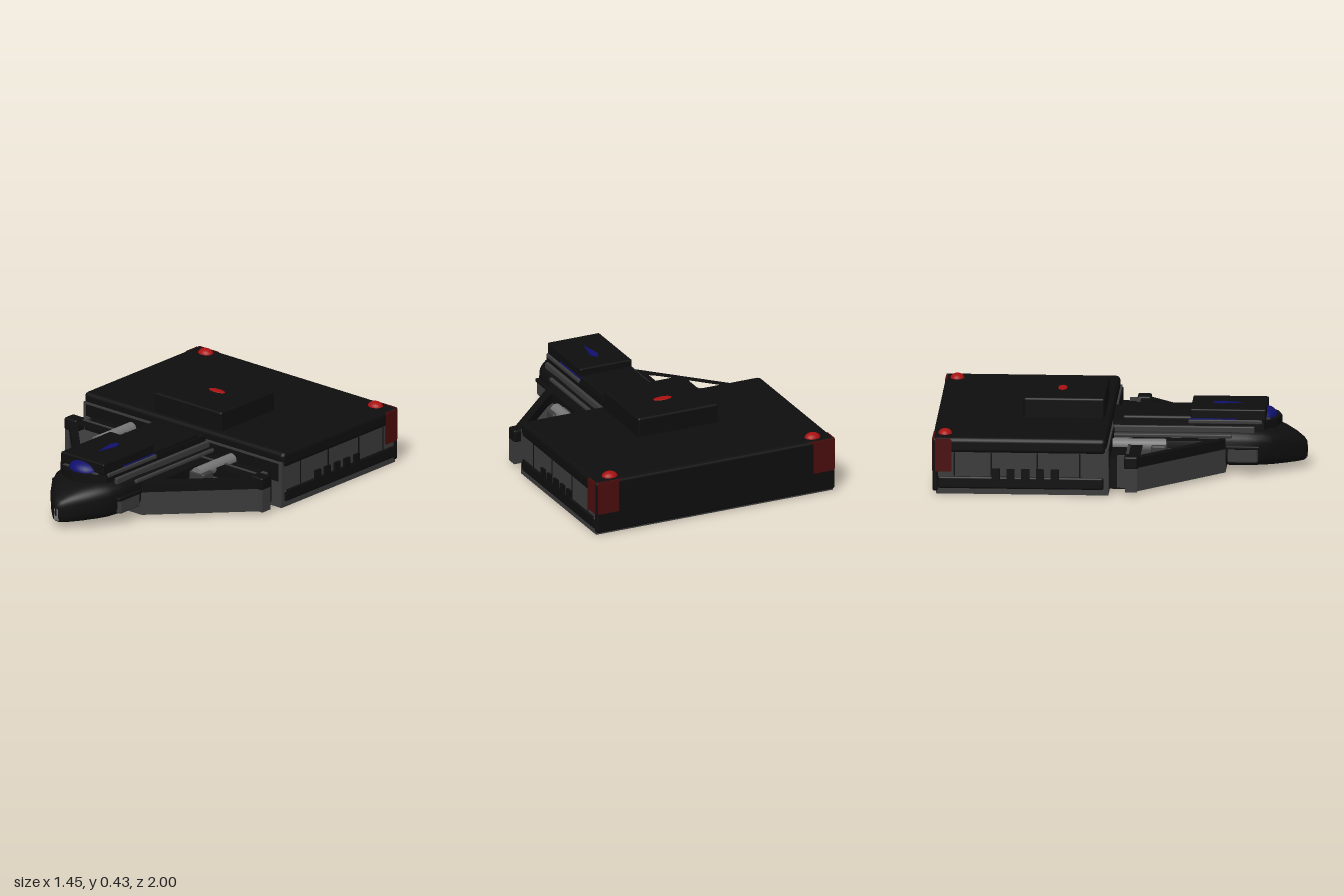
import * as THREE from 'three';
import { RoundedBoxGeometry } from 'three/addons/geometries/RoundedBoxGeometry.js';

const mat = (name, color, side = THREE.FrontSide) => {
  const m = new THREE.MeshStandardMaterial({ color, side });
  m.name = name;
  return m;
};

export function createModel() {
  const root = new THREE.Group();
  root.name = 'shuttle';
  const black = mat('black hull', 0x0e0e0e);
  const grey = mat('dark grey panel', 0x3a3a3a);
  const light = mat('light grey metal', 0x757575);
  const red = mat('red light', 0xa81010);
  const darkRed = mat('dark red panel', 0x4a0c0c);
  const blue = mat('blue glass', 0x10106e);

  const add = (name, geo, m, x = 0, y = 0, z = 0) => {
    const mesh = new THREE.Mesh(geo, m);
    mesh.name = name;
    mesh.position.set(x, y, z);
    root.add(mesh);
    return mesh;
  };
  // box given by its extents, optionally rounded
  const box = (name, m, x0, x1, y0, y1, z0, z1, r = 0) => {
    const s = [x1 - x0, y1 - y0, z1 - z0];
    const g = r ? new RoundedBoxGeometry(...s, 2, r) : new THREE.BoxGeometry(...s);
    return add(name, g, m, (x0 + x1) / 2, (y0 + y1) / 2, (z0 + z1) / 2);
  };
  // the same box on both sides
  const pair = (name, m, x0, x1, ...rest) => {
    box(name + 'Left', m, x0, x1, ...rest);
    box(name + 'Right', m, -x1, -x0, ...rest);
  };
  // horizontal slab from an outline of [x, z] points
  const outline = (pts, C) => new C(pts.map(([x, z]) => new THREE.Vector2(x, -z)));
  const slab = (name, m, pts, y0, y1, holes = []) => {
    const shape = outline(pts, THREE.Shape);
    shape.holes = holes.map((h) => outline(h, THREE.Path));
    const g = new THREE.ExtrudeGeometry(shape, { depth: y1 - y0, bevelEnabled: false });
    g.rotateX(-Math.PI / 2);
    return add(name, g, m, 0, y0, 0);
  };

  // rear cargo module
  box('cargoCore', grey, -0.712, 0.712, 0, 0.26, -0.98, -0.045);
  box('cargoRoof', black, -0.72, 0.72, 0.225, 0.312, -1, -0.055, 0.025);
  box('cargoFront', black, -0.69, 0.69, 0.15, 0.25, -0.06, -0.04);
  box('rearPlate', black, -0.718, 0.718, 0.012, 0.31, -1, -0.965, 0.015);
  box('roofHatch', black, -0.24, 0.24, 0.29, 0.42, -0.53, -0.09, 0.012);
  pair('sideRail', black, 0.69, 0.722, 0.03, 0.098, -0.97, -0.07, 0.012);
  for (let i = 0; i < 5; i++) {
    const z = -0.335 - i * 0.08;
    pair('vent' + i, black, 0.70, 0.726, 0.08, 0.142, z - 0.022, z + 0.022);
  }
  for (const z of [-0.2, -0.43, -0.68, -0.88]) {
    pair('panelSeam', black, 0.70, 0.714, 0.1, 0.23, z - 0.004, z + 0.004);
  }

  // red corner panels and lamps
  pair('cornerSidePanel', darkRed, 0.714, 0.722, 0.125, 0.3, -0.985, -0.895);
  pair('cornerBackPanel', darkRed, 0.585, 0.71, 0.125, 0.3, -1.002, -0.994);
  pair('cornerRoofEdge', darkRed, 0.57, 0.71, 0.295, 0.309, -0.999, -0.985);
  pair('cornerRoofSide', darkRed, 0.698, 0.719, 0.29, 0.306, -0.985, -0.9);
  const dome = new THREE.SphereGeometry(1, 20, 8, 0, Math.PI * 2, 0, Math.PI / 2);
  for (const s of [-1, 1]) {
    add('roofLamp', dome, red, s * 0.61, 0.308, -0.935).scale.set(0.045, 0.03, 0.038);
  }
  add('hatchLamp', dome, red, 0, 0.419, -0.33).scale.set(0.055, 0.007, 0.025);

  // delta wing: grey base, black frame with a sunken grey triangle on each side
  const wing = [[0.69, 0.1], [0.24, 0.565], [-0.24, 0.565], [-0.69, 0.1], [-0.69, 0.045], [0.69, 0.045]];
  const hole = [[0.29, 0.125], [0.29, 0.44], [0.335, 0.405], [0.605, 0.125]];
  slab('wingBase', grey, wing, 0.018, 0.148);
  slab('wingFrame', black, wing, 0.148, 0.203, [hole, hole.map(([x, z]) => [-x, z])]);
  box('wingCrossbar', grey, -0.66, 0.66, 0.198, 0.207, 0.045, 0.06);
  box('wingJoint', black, -0.64, 0.64, 0.02, 0.19, -0.05, 0.05);
  pair('jointCorner', grey, 0.62, 0.655, 0.03, 0.205, 0.0, 0.05);
  pair('wingTip', black, 0.625, 0.712, 0.145, 0.215, 0.04, 0.115, 0.01);
  pair('wingTipFoot', grey, 0.63, 0.71, 0.018, 0.15, 0.045, 0.11);

  // coupling rods resting on the wings
  for (const s of [-1, 1]) {
    const rod = new THREE.CylinderGeometry(0.034, 0.034, 0.3, 20);
    rod.rotateX(Math.PI / 2);
    add('couplingRod', rod, light, s * 0.36, 0.197, 0.1);
  }
  pair('rodMount', grey, 0.305, 0.415, 0.14, 0.205, 0.17, 0.255, 0.012);

  // fuselage lofted through [z, half width, bottom, top]
  const sections = [
    [-0.05, 0.225, 0.03, 0.25], [0.2, 0.23, 0.03, 0.255], [0.57, 0.236, 0.03, 0.26],
    [0.68, 0.232, 0.03, 0.256], [0.76, 0.216, 0.03, 0.25], [0.82, 0.185, 0.031, 0.238],
    [0.88, 0.14, 0.032, 0.217], [0.94, 0.085, 0.034, 0.188], [0.98, 0.042, 0.038, 0.16],
    [0.995, 0.018, 0.05, 0.14], [1, 0, 0.095, 0.095],
  ];
  const N = 36, pos = [], idx = [];
  const round = (v) => Math.sign(v) * Math.abs(v) ** 0.6;
  sections.forEach(([z, w, y0, y1], i) => {
    for (let j = 0; j < N; j++) {
      const t = (j / N) * Math.PI * 2;
      pos.push(w * round(Math.cos(t)), (y0 + y1) / 2 + ((y1 - y0) / 2) * round(Math.sin(t)), z);
      if (i + 1 < sections.length) {
        const a = i * N + j, b = i * N + ((j + 1) % N);
        idx.push(a, b, b + N, a, b + N, a + N);
      }
    }
  });
  const hull = new THREE.BufferGeometry();
  hull.setAttribute('position', new THREE.Float32BufferAttribute(pos, 3));
  hull.setIndex(idx);
  hull.computeVertexNormals();
  add('fuselage', hull, black);
  box('noseProbe', light, -0.02, 0.02, 0.045, 0.125, 0.965, 0.998, 0.012);
  pair('cheekPanel', grey, 0.2, 0.241, 0.07, 0.155, 0.575, 0.74, 0.012);
  pair('cheekTrim', black, 0.2, 0.245, 0.145, 0.165, 0.565, 0.75, 0.006);
  pair('shoulderStrip', grey, 0.178, 0.2, 0.225, 0.262, -0.045, 0.72, 0.006);
  pair('lowerStrip', grey, 0.213, 0.233, 0.205, 0.225, -0.045, 0.6, 0.006);

  // raised spine with a pointed brow
  slab('spine', black, [[0.165, -0.05], [0.165, 0.77], [0.09, 0.835], [0, 0.86],
    [-0.09, 0.835], [-0.165, 0.77], [-0.165, -0.05]], 0.24, 0.285);
  box('spineRidge', black, -0.155, 0.155, 0.26, 0.308, 0.0, 0.45, 0.015);
  pair('spineTrim', grey, 0.157, 0.172, 0.27, 0.292, 0.36, 0.76, 0.005);

  // cabin, canopy glass and roof marking
  box('cabin', black, -0.155, 0.155, 0.285, 0.348, 0.37, 0.78, 0.008);
  box('cabinGlassBand', blue, -0.158, 0.158, 0.288, 0.298, 0.364, 0.62);
  add('canopy', dome, blue, 0, 0.283, 0.755).scale.set(0.095, 0.052, 0.08);
  pair('browTrim', grey, 0.085, 0.12, 0.28, 0.289, 0.77, 0.8);
  slab('roofDiamond', blue, [[0, 0.65], [0.024, 0.525], [0.008, 0.485], [-0.008, 0.485],
    [-0.024, 0.525]], 0.346, 0.351);

  return root;
}
